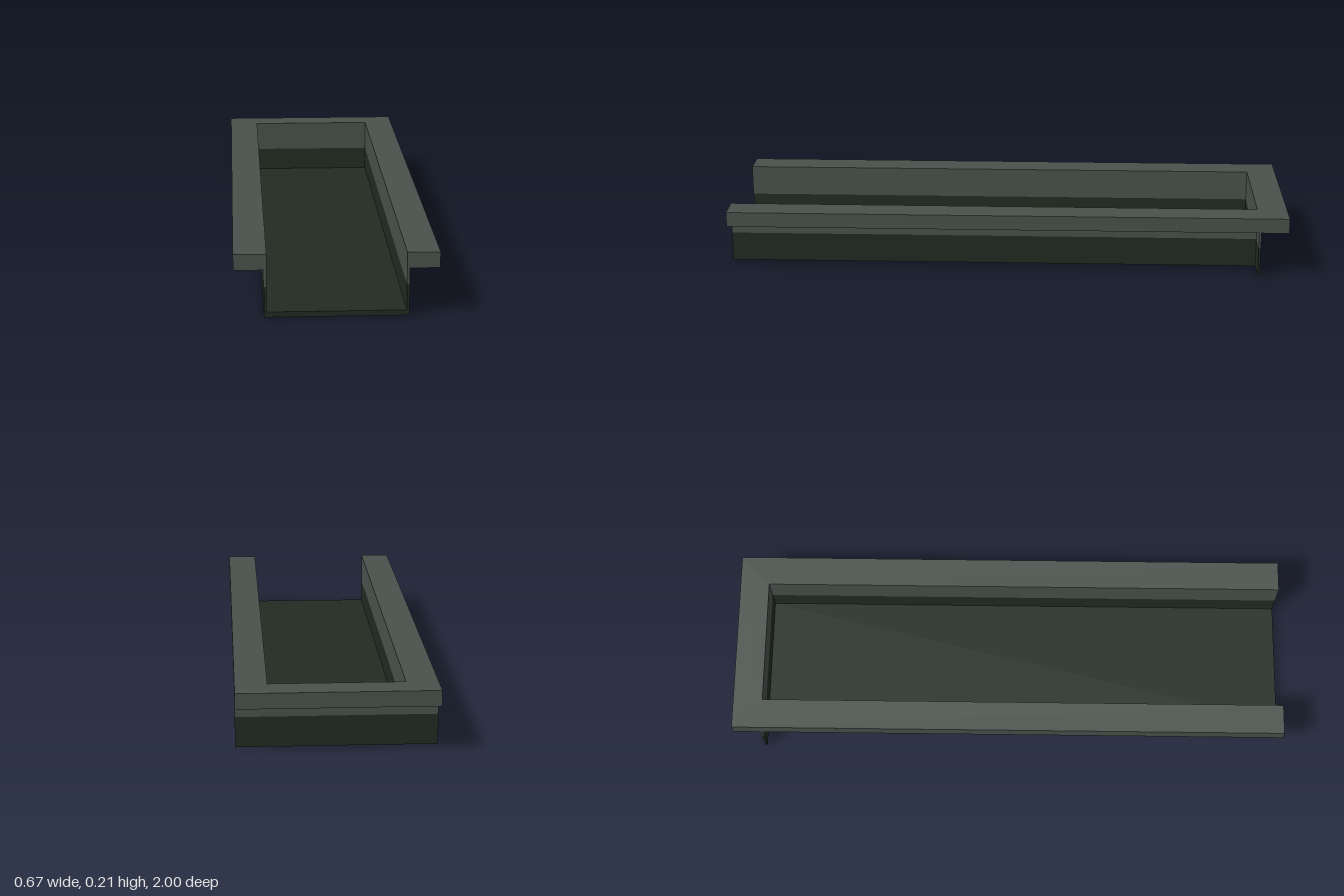
import * as THREE from 'three';

const HALF_W = 0.333, INNER = 0.226, OUTER = 0.235;
const RIM_Y = 0.159, TOP = 0.212, SPLIT = 0.103, FLOOR = 0.018;
const BACK_IN = -0.894, BACK_OUT = -0.902;

export function createModel() {
  const group = new THREE.Group();
  const grey = new THREE.MeshStandardMaterial({ color: 0x4a524d });
  grey.name = 'slate grey';
  const dark = new THREE.MeshStandardMaterial({ color: 0x212c22 });
  dark.name = 'dark green';

  // box given by its extents on each axis
  const slab = (name, material, [x0, x1], [y0, y1], [z0, z1]) => {
    const geometry = new THREE.BoxGeometry(x1 - x0, y1 - y0, z1 - z0);
    geometry.translate((x0 + x1) / 2, (y0 + y1) / 2, (z0 + z1) / 2);
    const mesh = new THREE.Mesh(geometry, material);
    mesh.name = name;
    group.add(mesh);
  };

  // U-shaped rim, open at the front; shape y is -z
  const outline = [
    [-HALF_W, -1], [-INNER, -1], [-INNER, -BACK_IN], [INNER, -BACK_IN],
    [INNER, -1], [HALF_W, -1], [HALF_W, 1], [-HALF_W, 1],
  ].map(([x, y]) => new THREE.Vector2(x, y));
  const rimGeometry = new THREE.ExtrudeGeometry(new THREE.Shape(outline), {
    depth: TOP - RIM_Y, bevelEnabled: false,
  });
  rimGeometry.rotateX(-Math.PI / 2).translate(0, RIM_Y, 0);
  const rim = new THREE.Mesh(rimGeometry, grey);
  rim.name = 'rim';
  group.add(rim);

  // floor of the trough
  slab('floor', dark, [-INNER, INNER], [0, FLOOR], [BACK_IN, 1]);

  // walls in two colour bands; the back wall runs the full width
  const bands = [['lower', dark, [0, SPLIT]], ['upper', grey, [SPLIT, RIM_Y]]];
  for (const [band, material, y] of bands) {
    slab(`${band} left wall`, material, [INNER, OUTER], y, [BACK_IN, 1]);
    slab(`${band} right wall`, material, [-OUTER, -INNER], y, [BACK_IN, 1]);
    slab(`${band} back wall`, material, [-HALF_W, HALF_W], y, [BACK_OUT, BACK_IN]);
  }
  return group;
}
